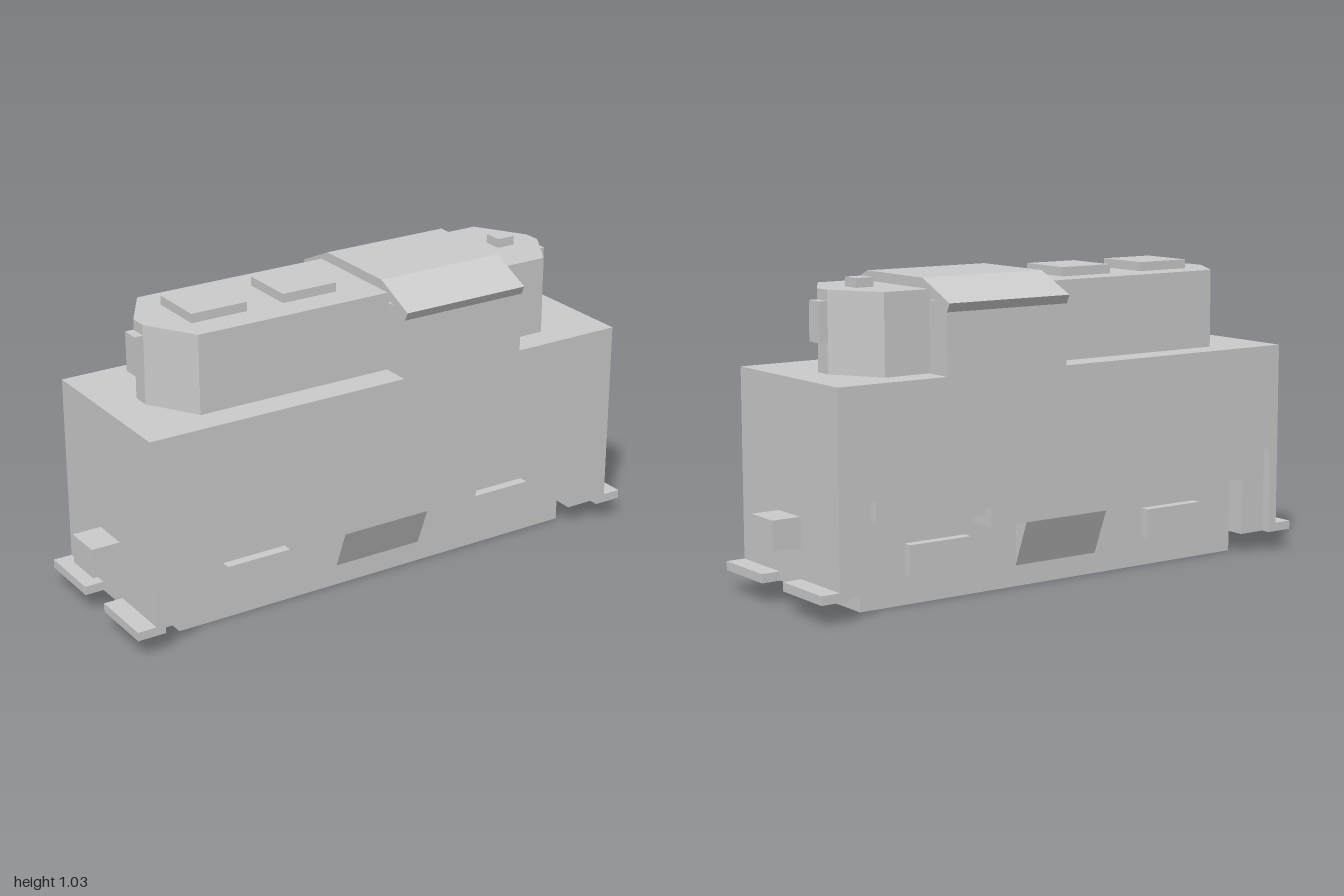
import * as THREE from 'three';

const material = new THREE.MeshStandardMaterial({ color: 0xcccccc, flatShading: true });

export function createModel() {
  const group = new THREE.Group();
  group.name = 'locomotive';

  const add = (name, geometry) => {
    const mesh = new THREE.Mesh(geometry, material);
    mesh.name = name;
    group.add(mesh);
    return mesh;
  };

  // Box given by its min and max along each axis
  const box = (name, [x0, x1], [y0, y1], [z0, z1]) =>
    add(name, new THREE.BoxGeometry(x1 - x0, y1 - y0, z1 - z0))
      .position.set((x0 + x1) / 2, (y0 + y1) / 2, (z0 + z1) / 2);

  // Outline extruded along z and centred on z = 0
  const prism = (points, depth) =>
    new THREE.ExtrudeGeometry(
      new THREE.Shape(points.map(([x, y]) => new THREE.Vector2(x, y))),
      { depth, bevelEnabled: false }
    ).translate(0, 0, -depth / 2);

  // Adds the x-mirrored half of a lower edge, running left to right
  const mirrorX = (half) => [...half.map(([x, y]) => [-x, y]).reverse(), ...half];

  // Main body with cab walls, stepped skirt and end plates
  const skirt = [[0.333, 0.235], [0.333, 0.3], [0.767, 0.3], [0.767, 0.37],
    [0.867, 0.37], [0.867, 0.07], [0.9, 0.07], [0.9, 0.735]];
  add('body', prism([...mirrorX(skirt),
    [0.5, 0.735], [0.5, 0.968], [0.033, 0.968], [0.033, 0.735]], 0.6));

  // Recessed inner skirt and step wells
  const inner = [[0.767, 0.268], [0.767, 0.07], [0.867, 0.07], [0.867, 0.5]];
  add('innerSkirt', prism(mirrorX(inner), 0.534));

  // Chassis block
  box('chassis', [-0.767, 0.767], [0, 0.3], [-0.2, 0.2]);

  // Wedge-sided tank tapering down to the chassis sides
  add('tank', prism([[-0.2, 0.07], [0.2, 0.07], [0.267, 0.24], [-0.267, 0.24]], 0.33)
    .rotateY(Math.PI / 2));

  // Hood with tapered ends
  const hood = prism([[-0.77, -0.03], [-0.667, -0.2], [0.667, -0.2],
    [0.77, -0.03], [0.77, 0.03], [0.667, 0.2], [-0.667, 0.2], [-0.77, 0.03]], 0.27);
  add('hood', hood.rotateX(-Math.PI / 2)).position.y = 0.867;

  // Bent cab roof shell
  const roof = [[-0.3, 0.937], [-0.165, 1.0], [0.165, 1.0], [0.3, 0.937],
    [0.314, 0.966], [0.163, 1.035], [-0.163, 1.035], [-0.314, 0.966]];
  add('cabRoof', prism(roof, 0.467).rotateY(Math.PI / 2)).position.x = 0.2665;

  // Hood-top hatches and small vent
  box('hatch', [-0.635, -0.435], [1, 1.033], [-0.1, 0.1]);
  box('hatch', [-0.302, -0.102], [1, 1.033], [-0.1, 0.1]);
  box('vent', [0.6, 0.665], [1, 1.033], [-0.033, 0.033]);

  for (const s of [-1, 1]) {
    const span = (a, b) => (s > 0 ? [a, b] : [-b, -a]);

    // End fittings
    box('headlamp', span(0.765, 0.8), [0.835, 0.967], [-0.031, 0.031]);
    box('coupler', span(0.9, 1), [0.2, 0.3], [-0.067, 0.067]);

    for (const t of [-1, 1]) {
      const side = (a, b) => (t > 0 ? [a, b] : [-b, -a]);
      box('footboard', span(0.9, 0.966), [0.07, 0.1], side(0.067, 0.3));
      box('sideBox', span(0.367, 0.6), [0.1, 0.2], side(0.19, 0.234));
    }
  }

  return group;
}
